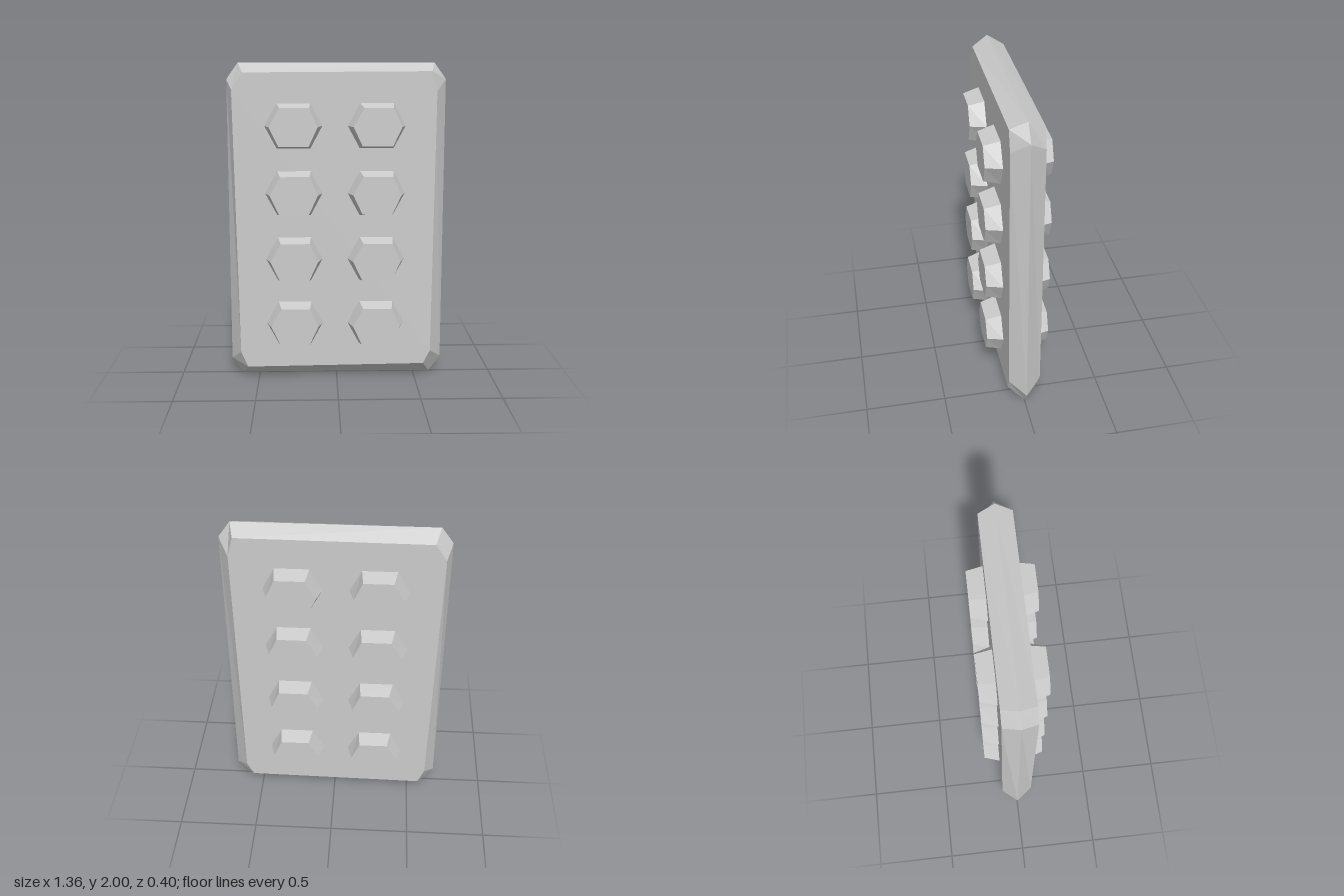
import * as THREE from 'three';

const material = new THREE.MeshStandardMaterial({ color: 0xcccccc, flatShading: true });

// Closed solid through rings ordered from low z to high z.
// Each ring is { z, pts }, its points counter-clockwise as seen from +z.
function loft(rings) {
  const n = rings[0].pts.length;
  const last = rings.length - 1;
  const pos = [];
  const put = (...corners) => corners.forEach(([r, j]) => {
    const [x, y] = rings[r].pts[j % n];
    pos.push(x, y, rings[r].z);
  });
  for (let r = 0; r < last; r++) {
    for (let j = 0; j < n; j++) {
      put([r, j], [r, j + 1], [r + 1, j + 1]);
      put([r, j], [r + 1, j + 1], [r + 1, j]);
    }
  }
  for (let j = 1; j < n - 1; j++) {
    put([last, 0], [last, j], [last, j + 1]);
    put([0, 0], [0, j + 1], [0, j]);
  }
  const geometry = new THREE.BufferGeometry();
  geometry.setAttribute('position', new THREE.Float32BufferAttribute(pos, 3));
  geometry.computeVertexNormals();
  return geometry;
}

// Slab outline: the wide rim in the middle, the slightly uneven faces
const rim = [
  [0.68, 0.1], [0.68, 1.9], [0.608, 2], [-0.608, 2],
  [-0.68, 1.9], [-0.68, 0.1], [-0.608, 0], [0.608, 0],
];
const face = [
  [0.602, 0.17], [0.616, 1.827], [0.583, 1.95], [-0.574, 1.943],
  [-0.643, 1.84], [-0.614, 0.17], [-0.571, 0.07], [0.558, 0.084],
];

// Hexagonal stud, slightly uneven like hand-cut work
const studBase = [
  [0.178, 0], [0.106, 0.138], [-0.102, 0.138],
  [-0.178, 0], [-0.104, -0.138], [0.105, -0.138],
];
const studTop = [
  [0.149, 0], [0.097, 0.115], [-0.082, 0.115],
  [-0.146, 0], [-0.09, -0.118], [0.094, -0.118],
];

export function createModel() {
  const model = new THREE.Group();
  model.name = 'studdedSlab';

  const slab = new THREE.Mesh(loft([
    { z: -0.1, pts: face },
    { z: 0, pts: rim },
    { z: 0.1, pts: face },
  ]), material);
  slab.name = 'slab';
  model.add(slab);

  // Two columns of four studs on both faces
  const frontStud = loft([{ z: 0.1, pts: studBase }, { z: 0.2, pts: studTop }]);
  const backStud = loft([{ z: -0.2, pts: studTop }, { z: -0.1, pts: studBase }]);
  for (const [side, geometry] of [['front', frontStud], ['back', backStud]]) {
    const studs = new THREE.Group();
    studs.name = `${side}Studs`;
    for (const x of [-0.267, 0.246]) {
      for (let row = 0; row < 4; row++) {
        const stud = new THREE.Mesh(geometry, material);
        stud.name = `${side}Stud`;
        stud.position.set(x, 0.365 + row * 0.418, 0);
        studs.add(stud);
      }
    }
    model.add(studs);
  }
  return model;
}
